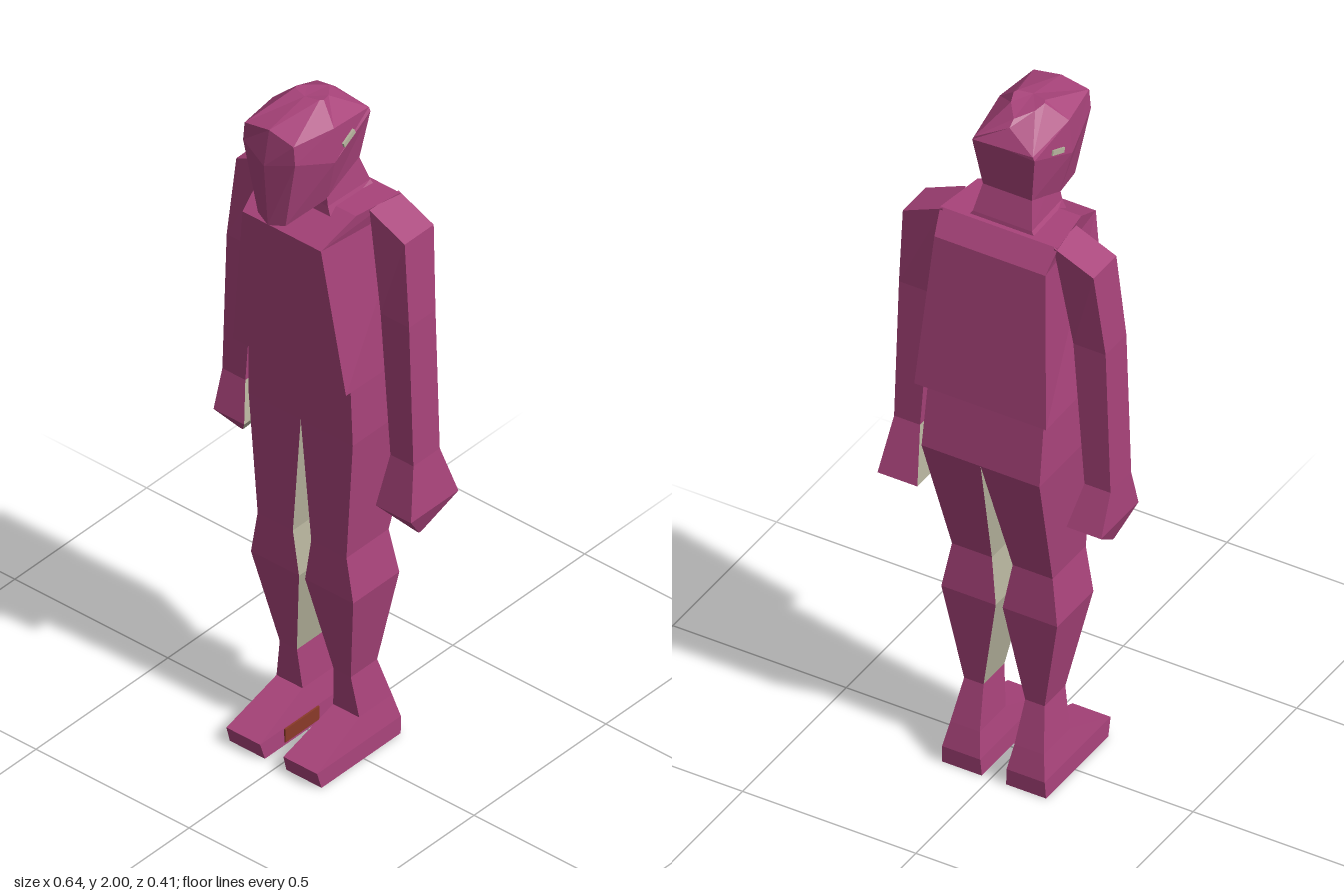
import * as THREE from 'three';

const plum = new THREE.MeshStandardMaterial({ color: 0xa8437a });
plum.name = 'plum suit';
const pale = new THREE.MeshStandardMaterial({ color: 0xb5b29c });
pale.name = 'pale underside';
const red = new THREE.MeshStandardMaterial({ color: 0x8a3a28 });
red.name = 'dark red';
const materials = [plum, pale, red];

// Joins rings of points, listed bottom to top and counterclockwise from above.
// colour(level, face) gives a material index; level -1 is the bottom, 99 the top.
function loft(name, rings, colour = () => 0) {
  const buckets = [[], [], []];
  const n = rings[0].length;
  const tri = (m, ...pts) => pts.forEach((p) => buckets[m].push(...p));
  for (let l = 0; l < rings.length - 1; l++) {
    const a = rings[l], b = rings[l + 1];
    for (let i = 0; i < n; i++) {
      const j = (i + 1) % n, m = colour(l, i);
      tri(m, a[i], a[j], b[j]);
      tri(m, a[i], b[j], b[i]);
    }
  }
  const lo = rings[0], hi = rings[rings.length - 1];
  for (let i = 1; i < n - 1; i++) {
    tri(colour(-1, 0), lo[0], lo[i + 1], lo[i]);
    tri(colour(99, 0), hi[0], hi[i], hi[i + 1]);
  }
  const geo = new THREE.BufferGeometry();
  geo.setAttribute('position', new THREE.Float32BufferAttribute(buckets.flat(), 3));
  let start = 0;
  buckets.forEach((b, m) => {
    if (b.length) geo.addGroup(start, b.length / 3, m);
    start += b.length / 3;
  });
  geo.computeVertexNormals(); // unshared corners give flat faces
  const mesh = new THREE.Mesh(geo, materials);
  mesh.name = name;
  return mesh;
}

// Four-corner section of a left limb; face 3 is the inner side.
const section = ([y, xi, xo, zf, zb, yo = y]) =>
  [[xi, y, zf], [xo, yo, zf], [xo, yo, zb], [xi, y, zb]];
// Symmetric section with its own front and back widths.
const bodySection = ([y, xf, zf, xb, zb]) =>
  [[-xf, y, zf], [xf, y, zf], [xb, y, zb], [-xb, y, zb]];
const mirror = (ring) => ring.map(([x, y, z]) => [-x, y, z]).reverse();

export function createModel() {
  const figure = new THREE.Group();
  figure.name = 'figure';
  figure.position.x = -0.01;

  // Torso, waist and neck
  figure.add(loft('torso', [
    [1.195, 0.184, 0.107, 0.19, -0.207],
    [1.63, 0.128, 0.137, 0.16, -0.16],
    [1.69, 0.15, 0.03, 0.17, -0.115],
  ].map(bodySection)));
  figure.add(loft('waist', [
    [1.16, 0.12, 0.05, 0.12, -0.14],
    [1.21, 0.12, 0.05, 0.12, -0.14],
  ].map(bodySection), () => 1));
  figure.add(loft('neck', [
    [1.65, 0.1, 0.06, 0.12, -0.11],
    [1.70, 0.08, 0.055, 0.085, -0.1],
    [1.79, 0.065, 0.05, 0.068, -0.07],
  ].map(bodySection)));

  // Head: half rings from front middle to back middle, completed by mirroring
  const headRing = (h) => [...h, ...h.slice(1, -1).reverse().map(([x, y, z]) => [-x, y, z])];
  figure.add(loft('head', [
    [[0, 1.68, 0.19], [0.045, 1.69, 0.175], [0.075, 1.72, 0.05], [0.07, 1.77, -0.075], [0, 1.77, -0.075]],
    [[0, 1.87, 0.205], [0.085, 1.9, 0.185], [0.107, 1.85, 0.06], [0.09, 1.915, -0.095], [0, 1.92, -0.095]],
    [[0, 1.97, 0.185], [0.08, 1.955, 0.185], [0.1, 1.95, 0.055], [0.085, 1.925, -0.095], [0, 1.965, -0.065]],
    [[0, 1.998, 0.05], [0.04, 2, 0.04], [0.045, 1.998, 0.03], [0.035, 1.99, 0], [0, 1.98, -0.045]],
  ].map(headRing)));

  for (const side of [1, -1]) {
    const label = side > 0 ? 'left' : 'right';
    const orient = (r) => (side > 0 ? r : mirror(r));

    // Leg with half of the hips
    figure.add(loft(label + 'Leg', [
      [0.24, 0.06, 0.116, 0.01, -0.09],
      [0.52, 0.01, 0.167, 0.06, -0.115],
      [0.65, 0.03, 0.145, 0.06, -0.1],
      [1.01, 0, 0.17, 0.065, -0.205],
      [1.182, 0, 0.167, 0.07, -0.18],
    ].map(section).map(orient), (l, f) => (f === 3 && l >= 0 && l < 3 ? 1 : 0)));

    // Foot and ankle with a pale sole
    figure.add(loft(label + 'Foot', [
      [0, 0.035, 0.15, 0.16, -0.14],
      [0.05, 0.038, 0.148, 0.175, -0.143],
      [0.12, 0.05, 0.135, 0, -0.125],
      [0.24, 0.06, 0.116, 0.01, -0.09],
    ].map(section).map(orient), (l) => (l === -1 ? 1 : 0)));

    // Arm and hand, the right hand held slightly higher
    const lift = side > 0 ? 0 : 0.04;
    const out = side > 0 ? 0.33 : 0.315;
    figure.add(loft(label + 'Arm', [
      [0.75 + lift, out - 0.04, out - 0.03, -0.035, -0.045],
      [0.83 + lift, 0.215, out, 0.03, -0.15],
      [0.98, 0.237, 0.312, 0, -0.1],
      [1.4, 0.205, 0.298, 0, -0.1],
      [1.69, 0.16, 0.275, -0.01, -0.12, 1.64],
    ].map(section).map(orient), (l, f) => (f === 3 && l >= 0 && l < 2 ? 1 : 0)));

    // Small pale ear mark
    const ear = new THREE.Mesh(new THREE.BoxGeometry(0.008, 0.014, 0.05), pale);
    ear.name = label + 'EarMark';
    ear.position.set(side * 0.1, 1.89, 0);
    ear.rotation.set(0.35, side * 0.1, 0);
    figure.add(ear);
  }

  // Red patch on the inside of the right foot
  const patch = new THREE.Mesh(new THREE.BoxGeometry(0.006, 0.04, 0.13), red);
  patch.name = 'rightFootPatch';
  patch.position.set(-0.036, 0.028, 0.02);
  figure.add(patch);

  const model = new THREE.Group();
  model.add(figure);
  return model;
}
